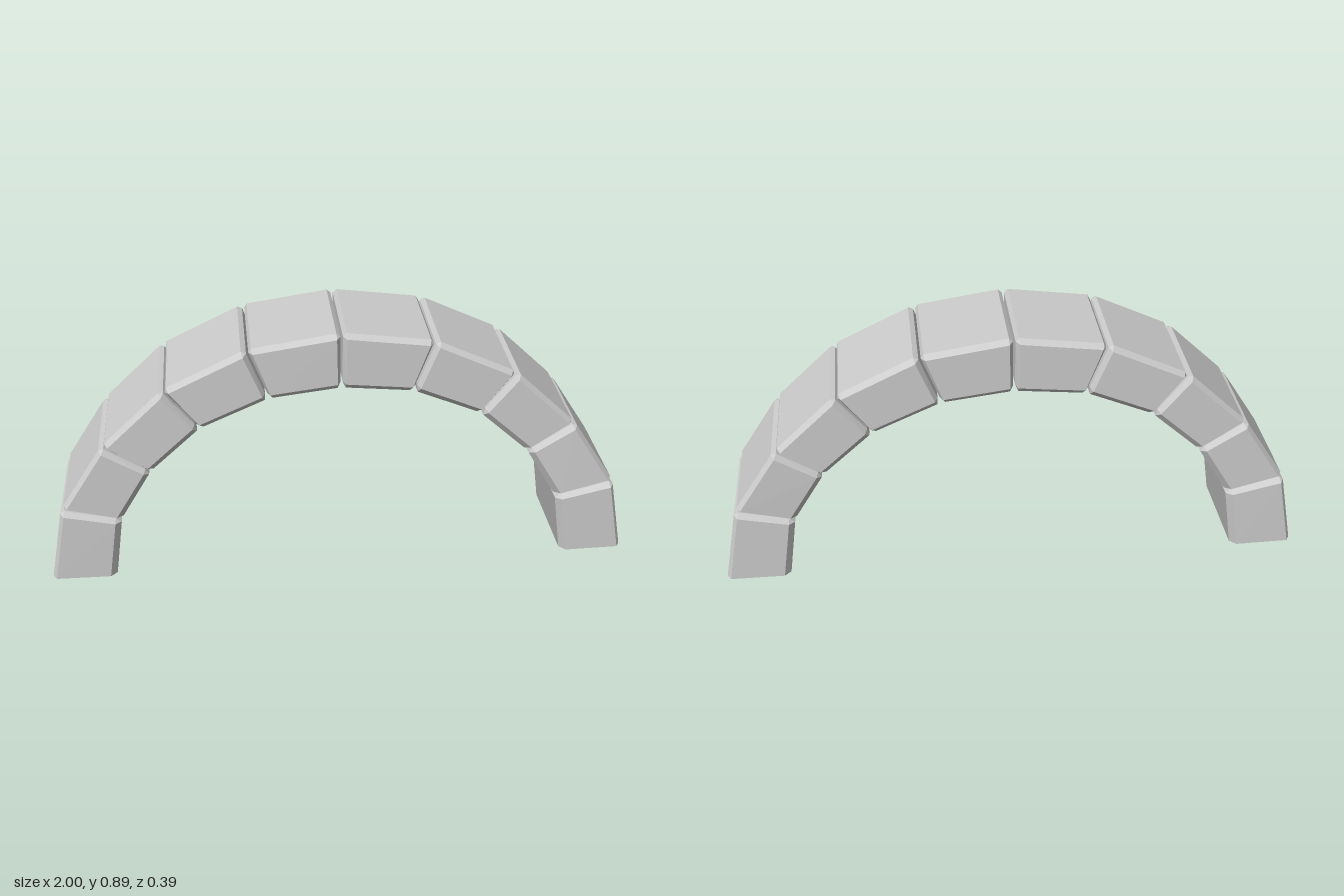
import * as THREE from 'three';
import { ConvexGeometry } from 'three/addons/geometries/ConvexGeometry.js';

// Joints between stones from foot to crown: outer x, y, inner x, y
const JOINTS = [
  [1.0, 0.0, 0.78, 0.0],
  [0.945, 0.285, 0.745, 0.237],
  [0.792, 0.522, 0.635, 0.42],
  [0.582, 0.722, 0.466, 0.574],
  [0.307, 0.853, 0.238, 0.672],
  [0.0, 0.896, 0.0, 0.698],
];
// Slight sideways drift of each joint, which keeps the stones a little uneven
const DRIFT = { right: [0, 0.004, 0.005, 0.005, 0.003, 0], left: [0.002, 0.005, -0.004, -0.007, -0.004, 0] };
const HALF_DEPTH = 0.191;
const GAP = 0.004;

// Wedge-shaped stone between two joints; every corner becomes three points, which bevels all edges
function stoneGeometry(a, b, za, zb, side, gapA) {
  const outer = (j) => new THREE.Vector2(j[0] * side, j[1]);
  const inner = (j) => new THREE.Vector2(j[2] * side, j[3]);
  const length = outer(a).distanceTo(outer(b));
  const height = outer(a).distanceTo(inner(a));
  const at = (u, v, z) => {
    const o = outer(a).lerp(outer(b), u);
    const p = inner(a).lerp(inner(b), u).lerp(o, v);
    return new THREE.Vector3(p.x, p.y, z + THREE.MathUtils.lerp(za, zb, u));
  };
  const points = [];
  for (const end of [0, 1]) for (const top of [0, 1]) for (const s of [-1, 1]) {
    const u = end ? 1 - GAP / length : gapA / length;
    const ui = u + (end ? -1 : 1) * 0.013 / length;
    const vi = top ? 1 - 0.013 / height : 0.022 / height;
    const z = s * HALF_DEPTH, zi = s * (HALF_DEPTH - 0.022);
    points.push(at(u, vi, zi), at(ui, top, zi), at(ui, vi, z));
  }
  return new ConvexGeometry(points);
}

export function createModel() {
  const arch = new THREE.Group();
  arch.name = 'stoneArch';
  const material = new THREE.MeshStandardMaterial({ color: 0xcccccc, flatShading: true });
  for (const [name, side] of [['left', 1], ['right', -1]]) {
    const drift = DRIFT[side > 0 ? 'left' : 'right'];
    for (let i = 0; i < JOINTS.length - 1; i++) {
      const geometry = stoneGeometry(JOINTS[i], JOINTS[i + 1], drift[i], drift[i + 1], side, i ? GAP : 0);
      const stone = new THREE.Mesh(geometry, material);
      stone.name = `${name}Stone${i + 1}`;
      arch.add(stone);
    }
  }
  return arch;
}
